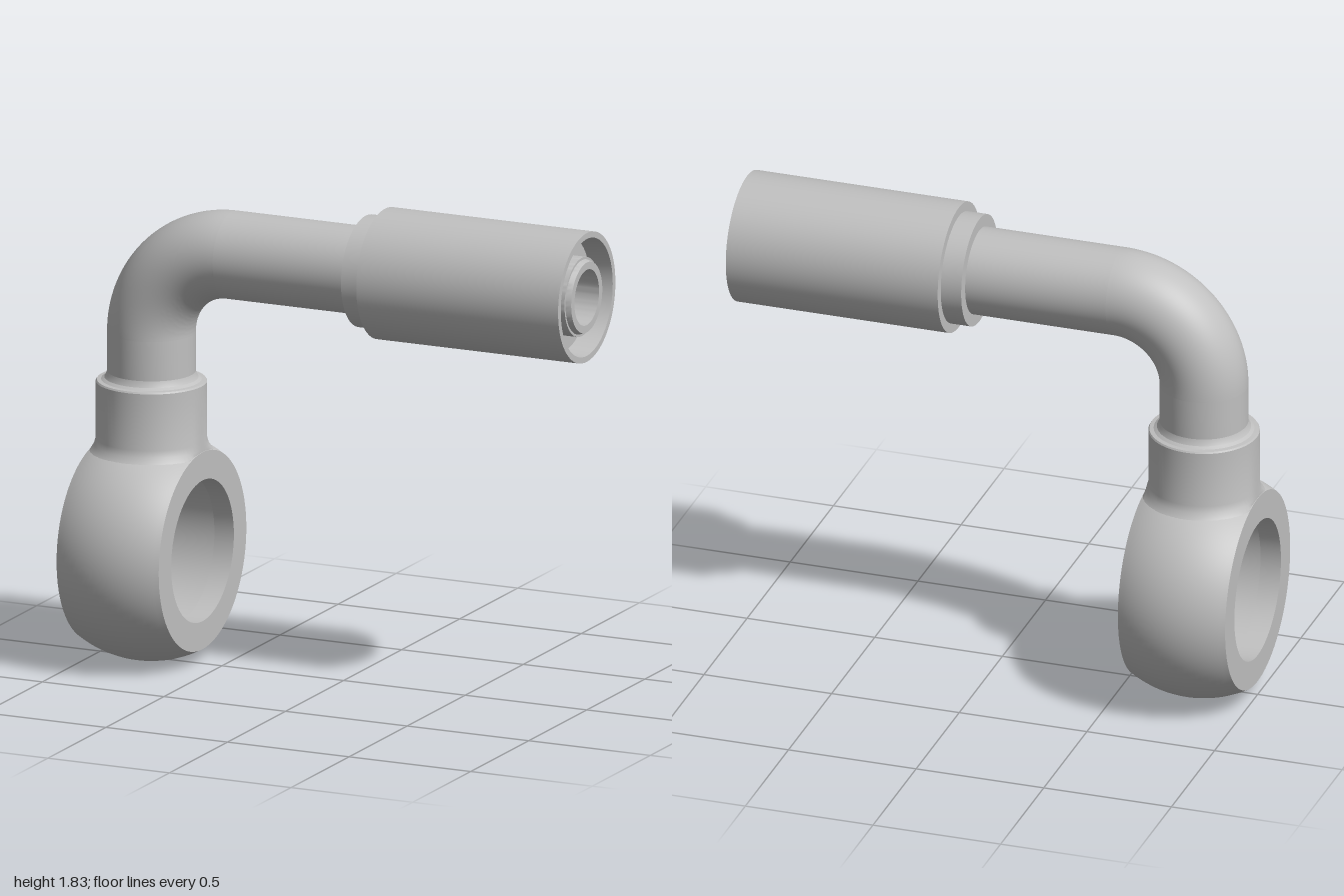
import * as THREE from 'three';
import { toCreasedNormals } from 'three/addons/utils/BufferGeometryUtils.js';

const SEG = 80;
const EYE = { x: -0.79, y: 0.432, r: 0.432, half: 0.21, bore: 0.27, groove: 0.3, grooveHalf: 0.13 };
const PIPE_R = 0.165, AXIS_Y = 1.582, BEND_R = 0.33, PASSAGE_R = 0.105;

// Turned part around y; profile points are [radius, height]
function turned(points, phiStart = 0, phiLength = Math.PI * 2) {
  return new THREE.LatheGeometry(points.map(([r, h]) => new THREE.Vector2(r, h)), SEG, phiStart, phiLength);
}

// Moves every vertex by a rule
function reshape(geometry, rule) {
  const p = geometry.attributes.position, v = new THREE.Vector3();
  for (let i = 0; i < p.count; i++) {
    v.fromBufferAttribute(p, i);
    rule(v);
    p.setXYZ(i, v.x, v.y, v.z);
  }
  geometry.computeVertexNormals();
  return geometry;
}

export function createModel() {
  const group = new THREE.Group();
  const steel = new THREE.MeshStandardMaterial({ color: 0xc0c0c0 });
  steel.name = 'steel';

  function add(name, geometry, x, y, parent = group) {
    const mesh = new THREE.Mesh(toCreasedNormals(geometry, 0.45), steel);
    mesh.name = name;
    mesh.position.set(x, y, 0);
    parent.add(mesh);
    return mesh;
  }

  // Ring eye: truncated sphere with a bore and an inner groove
  const eye = new THREE.Group();
  eye.name = 'ringEye';
  eye.position.set(EYE.x, EYE.y, 0);
  group.add(eye);

  const { half, bore, groove, grooveHalf } = EYE;
  const profile = [[groove, -grooveHalf], [bore, -grooveHalf], [bore, -half]];
  const limit = Math.asin(half / EYE.r);
  for (let i = 0; i <= 20; i++) {
    const a = -limit + (2 * limit * i) / 20;
    profile.push([EYE.r * Math.cos(a), EYE.r * Math.sin(a)]);
  }
  profile.push([bore, half], [bore, grooveHalf], [groove, grooveHalf]);
  add('eyeBody', turned(profile).rotateZ(-Math.PI / 2), 0, 0, eye);

  // Groove wall, leaving a gap at the top for the oil passage
  const gap = grooveHalf / groove;
  add('grooveWall', turned([[groove, grooveHalf], [groove, -grooveHalf]],
    -Math.PI / 2 + gap, Math.PI * 2 - 2 * gap).rotateZ(-Math.PI / 2), 0, 0, eye);

  // Square patch with a round hole, bent onto the groove wall
  const patch = reshape(new THREE.RingGeometry(PASSAGE_R, 1, 64, 5), (v) => {
    const r = Math.hypot(v.x, v.y), t = (r - PASSAGE_R) / (1 - PASSAGE_R);
    const c = v.x / r, s = v.y / r;
    const edge = grooveHalf / Math.max(Math.abs(c), Math.abs(s));
    const d = PASSAGE_R + (edge - PASSAGE_R) * t;
    const angle = (d * s) / groove;
    v.set(d * c, groove * Math.cos(angle), groove * Math.sin(angle));
  });
  add('passageMouth', patch, 0, 0, eye);

  // Passage up into the neck, its lower rim following the groove
  const passage = reshape(turned([[0, 0.8], [PASSAGE_R, 0.74], [PASSAGE_R, groove]]), (v) => {
    if (v.y < groove + 0.01) v.y = Math.sqrt(groove * groove - v.z * v.z);
  });
  add('passage', passage, 0, 0, eye);

  // Neck collar with a small fillet below and a weld fillet above
  const collar = reshape(turned([
    [0.245, 0.78], [0.228, 0.8], [0.214, 0.82], [0.207, 0.845], [0.207, 1.062],
    [0.203, 1.068], [0.187, 1.07], [0.175, 1.078], [0.168, 1.09], [0.164, 1.105],
  ]), (v) => { v.x = THREE.MathUtils.clamp(v.x, -half + 0.001, half - 0.001); });
  add('neckCollar', collar, EYE.x, 0);

  // Bent pipe: upright, quarter bend and straight run
  const bendX = EYE.x + BEND_R, bendY = AXIS_Y - BEND_R;
  add('pipeUpright', turned([[PIPE_R, 1.05], [PIPE_R, bendY]]), EYE.x, 0);
  add('pipeBend', new THREE.TorusGeometry(BEND_R, PIPE_R, SEG, 40, Math.PI / 2).rotateZ(Math.PI / 2), bendX, bendY);
  add('pipeRun', turned([[PIPE_R, bendX], [PIPE_R, 0.12]]).rotateZ(-Math.PI / 2), 0, AXIS_Y);

  // Crimp sleeve with stepped shoulder, recessed end and inner nipple
  add('crimpSleeve', turned([
    [0.155, 0.09], [0.211, 0.09], [0.211, 0.17], [0.247, 0.17], [0.247, 1],
    [0.224, 1], [0.215, 0.91], [0.15, 0.91],
  ]).rotateZ(-Math.PI / 2), 0, AXIS_Y);
  add('nipple', turned([
    [0.15, 0.91], [0.15, 0.98], [0.141, 0.98], [0.134, 1],
    [0.106, 1], [0.106, 0.3], [0, 0.24],
  ]).rotateZ(-Math.PI / 2), 0, AXIS_Y);

  return group;
}
